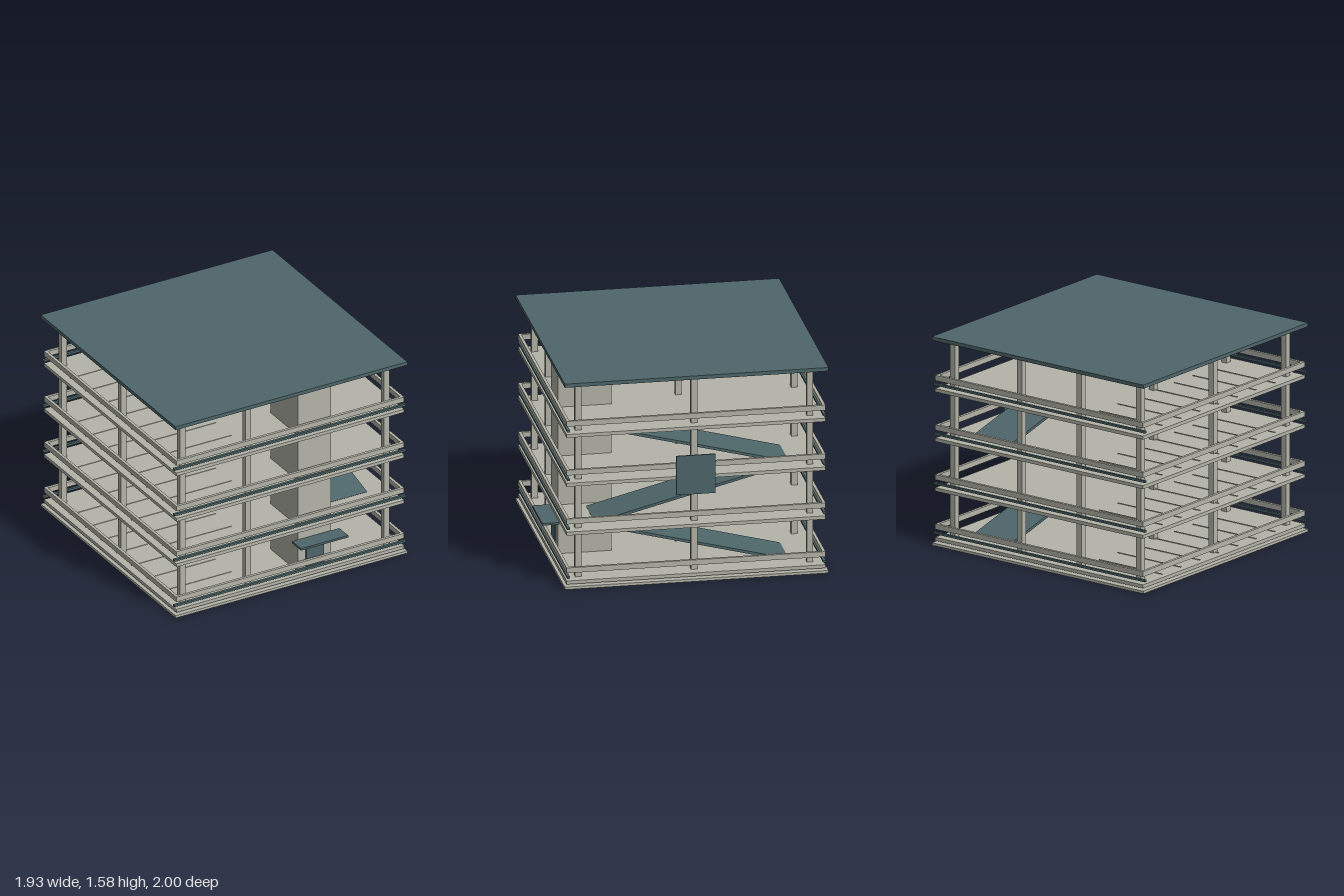
import * as THREE from 'three';

const mat = (name, color) => {
  const m = new THREE.MeshStandardMaterial({ color });
  m.name = name;
  return m;
};

export function createModel() {
  const concrete = mat('concrete', 0xb4b4a9);
  const teal = mat('slate teal', 0x4e666a);
  const model = new THREE.Group();
  model.name = 'parkingGarage';

  // Box given by its minimum and maximum on each axis
  const box = (name, material, [x0, x1], [y0, y1], [z0, z1], parent = model) => {
    const mesh = new THREE.Mesh(new THREE.BoxGeometry(x1 - x0, y1 - y0, z1 - z0), material);
    mesh.position.set((x0 + x1) / 2, (y0 + y1) / 2, (z0 + z1) / 2);
    mesh.name = name;
    parent.add(mesh);
    return mesh;
  };

  const step = 0.374;            // storey height
  const zMid = -0.032;           // middle of the building
  const half = 0.95;             // half width of a floor
  const zBack = zMid - half, zFront = zMid + half;

  // Ground plate and roof
  box('basePlate', concrete, [-0.966, 0.966], [0, 0.02], [-1, 0.934]);
  box('roof', teal, [-0.966, 0.966], [1.547, 1.575], [-1, 0.934]);

  for (let i = 0; i < 4; i++) {
    const y = 0.06 + i * step;
    const floor = new THREE.Group();
    floor.name = `floor${i + 1}`;
    model.add(floor);
    box('slab', concrete, [-half, half], [y - 0.026, y], [zBack, zFront], floor);

    // Concrete guard rails on all sides
    const rail = [y + 0.06, y + 0.1];
    const t = 0.022;
    box('frontGuard', concrete, [-half, half], rail, [zFront - t, zFront], floor);
    box('backGuard', concrete, [-half, half], rail, [zBack, zBack + t], floor);
    for (const s of [-1, 1]) {
      const x = s * (half - t / 2);
      box('sideGuard', concrete, [x - t / 2, x + t / 2], rail, [zBack + t, zFront - t], floor);
    }

    // Slim coloured bars along front and back
    for (const z of [zFront - 0.011, zBack + 0.011]) {
      box('accentBar', teal, [-0.966, 0.966], [y + 0.022, y + 0.038], [z - 0.01, z + 0.01], floor);
    }

    // Columns, just short of the ceiling
    for (const x of [-0.85, -0.305, 0.24, 0.85]) {
      for (const z of [zMid - 0.85, zMid, zMid + 0.85]) {
        box('column', concrete, [x - 0.023, x + 0.023], [y, y + 0.337], [z - 0.023, z + 0.023], floor);
      }
    }

    // Parking bay dividers on the left half
    for (let k = -3; k <= 3; k++) {
      const z = zMid + k * 0.22;
      box('bayLine', concrete, [-0.9, -0.325], [y, y + 0.004], [z - 0.005, z + 0.005], floor);
    }
  }

  // Ramps that zigzag between the floors
  const run = 1.42;
  for (let i = 0; i < 3; i++) {
    const ramp = new THREE.Mesh(new THREE.BoxGeometry(0.35, 0.02, Math.hypot(run, 0.365)), teal);
    ramp.position.set(0.605, 0.235 + i * step, zMid);
    ramp.rotation.x = (i % 2 ? 1 : -1) * Math.atan2(0.365, run);
    ramp.name = 'ramp';
    model.add(ramp);
  }

  // Stair tower with door and canopy
  box('stairTower', concrete, [0.09, 0.366], [0.02, 1.547], [0.48, 0.872]);
  box('door', teal, [0.155, 0.301], [0.03, 0.292], [0.873, 0.882]);
  box('canopy', teal, [0.042, 0.436], [0.308, 0.324], [0.872, 1]);

  // Plain sign board on the side
  box('signBoard', teal, [0.948, 0.96], [0.667, 0.965], [-0.172, 0.115]);

  return model;
}
